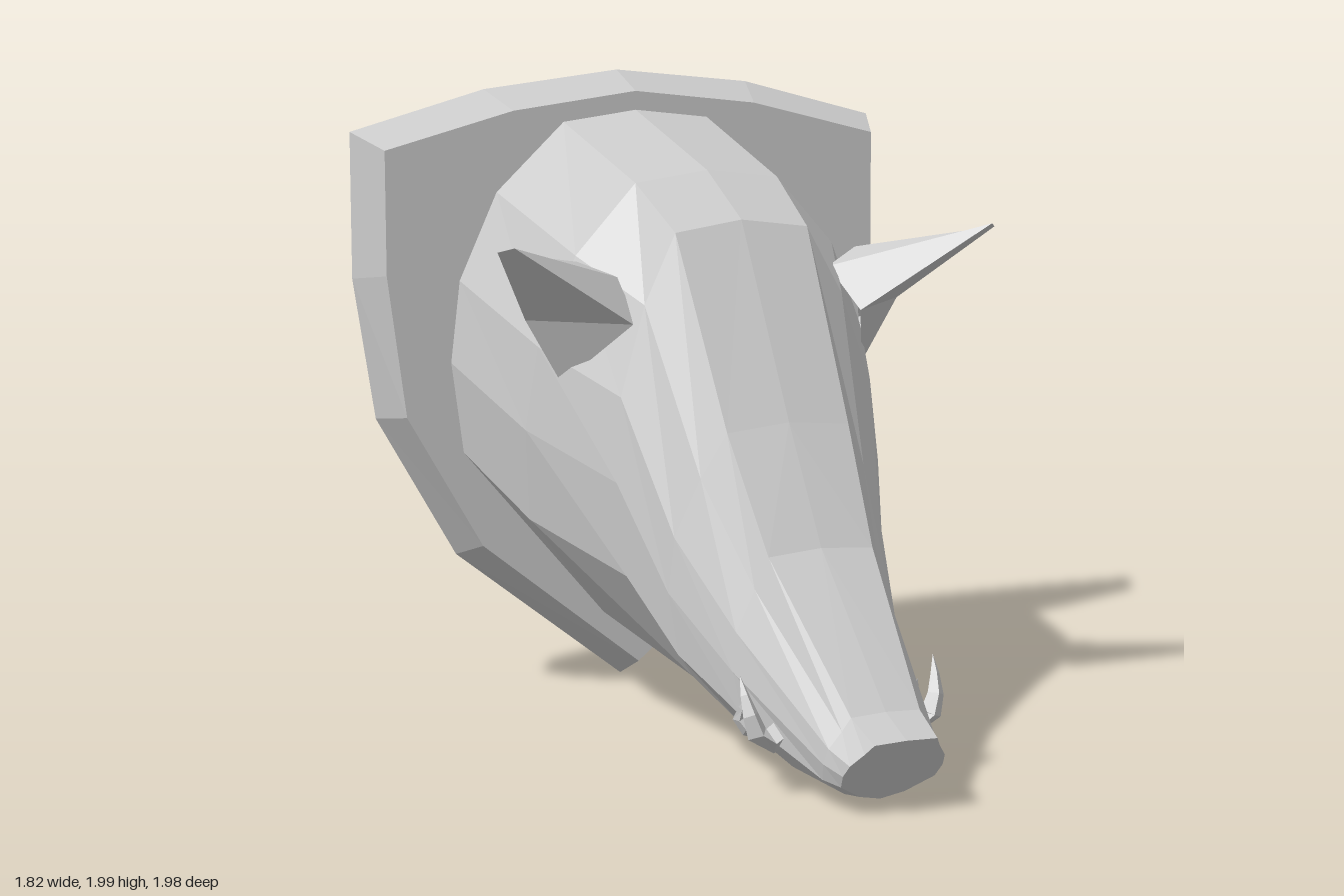
import * as THREE from 'three';

const material = new THREE.MeshStandardMaterial({ color: 0xcccccc, flatShading: true, side: THREE.DoubleSide });

function addMesh(parent, name, geometry) {
  const mesh = new THREE.Mesh(geometry, material);
  mesh.name = name;
  parent.add(mesh);
}

// Geometry from a list of triangles, each an array of three [x, y, z] points
function fromTriangles(tris) {
  const geometry = new THREE.BufferGeometry();
  geometry.setAttribute('position', new THREE.Float32BufferAttribute(tris.flat(2), 3));
  geometry.computeVertexNormals();
  return geometry;
}

// Lofts half sections (top centre, round +x, bottom centre), mirrored, from back to front
function loft(halves) {
  const rings = halves.map(h => [...h, ...h.slice(1, -1).reverse().map(([x, y, z]) => [-x, y, z])]);
  const n = rings[0].length, tris = [];
  for (let i = 0; i < rings.length - 1; i++) {
    for (let j = 0; j < n; j++) {
      const k = (j + 1) % n;
      const a = rings[i][j], b = rings[i][k], c = rings[i + 1][k], d = rings[i + 1][j];
      if (j < n / 2) tris.push([a, d, c], [a, c, b]);
      else tris.push([a, d, b], [b, d, c]);
    }
  }
  // End caps
  const middle = ring => [0, 1, 2].map(c => ring.reduce((s, p) => s + p[c], 0) / n);
  const back = rings[0], front = rings[rings.length - 1];
  const mb = middle(back), mf = middle(front);
  for (let j = 0; j < n; j++) {
    const k = (j + 1) % n;
    tris.push([mb, back[j], back[k]], [mf, front[k], front[j]]);
  }
  return fromTriangles(tris);
}

// Half section of the head: one shared outline, scaled between its top and bottom points
function headSection([top, topZ, bottom, bottomZ, width, ridge, bow]) {
  const outline = [[0, 0], [ridge / width, 0.02], [0.75, 0.16], [0.95, 0.34], [1, 0.51], [0.94, 0.7], [0.45, 0.92], [0, 1]];
  return outline.map(([x, f]) => [
    x * width,
    THREE.MathUtils.lerp(top, bottom, f),
    THREE.MathUtils.lerp(topZ, bottomZ, f) + bow * Math.sin(Math.PI * f),
  ]);
}

// Curved, four-sided tube that narrows to a point
function tusk(points, radius) {
  const curve = new THREE.CatmullRomCurve3(points.map(p => new THREE.Vector3(...p)));
  const steps = 5, sides = 4;
  const geometry = new THREE.TubeGeometry(curve, steps, radius, sides);
  const pos = geometry.attributes.position, v = new THREE.Vector3();
  for (let i = 0; i < pos.count; i++) {
    const t = Math.floor(i / (sides + 1)) / steps;
    const centre = curve.getPointAt(t);
    v.fromBufferAttribute(pos, i).sub(centre).multiplyScalar(1 - t * t).add(centre);
    pos.setXYZ(i, v.x, v.y, v.z);
  }
  return geometry;
}

export function createModel() {
  const model = new THREE.Group();
  model.name = 'mountedBoarHead';

  // Shield-shaped plaque with a bevelled rim
  const atDepth = (outline, z) => outline.map(([x, y]) => [x, y, z]);
  addMesh(model, 'plaque', loft([
    atDepth([[0, 2], [0.46, 1.95], [0.91, 1.83], [0.91, 1.37], [0.84, 0.92], [0.575, 0.46], [0, 0.01]], -0.99),
    atDepth([[0, 1.94], [0.42, 1.89], [0.85, 1.78], [0.85, 1.39], [0.79, 0.94], [0.54, 0.51], [0, 0.08]], -0.84),
  ]));

  // Head sections: top y, top z, bottom y, bottom z, half width, ridge half width, bow in z
  addMesh(model, 'head', loft([
    [1.88, -0.84, 0.36, -0.84, 0.64, 0.25, 0], // neck
    [1.73, -0.31, 0.21, -0.56, 0.58, 0.24, 0.06], // crown
    [1.6, -0.07, 0.11, 0, 0.44, 0.22, 0.02], // brow
    [1.03, 0.25, 0.06, 0.28, 0.36, 0.2, -0.09], // cheeks
    [0.69, 0.46, 0.01, 0.55, 0.275, 0.17, -0.07], // muzzle
    [0.29, 0.86, 0.015, 0.75, 0.18, 0.11, 0.02], // snout
    [0.235, 0.985, 0.03, 0.83, 0.16, 0.1, 0], // nose
  ].map(headSection)));

  for (const [side, s] of [['left', 1], ['right', -1]]) {
    const flip = points => points.map(([x, y, z]) => [s * x, y, z]);

    // Ear: blunt tip, outer fold and base corners
    const [tipF, tipB, fold, top, rear, low, inner, crown] = flip([
      [0.79, 1.565, 0.065], [0.825, 1.55, 0.02], [0.63, 1.31, -0.25], [0.47, 1.48, -0.23],
      [0.55, 1.24, -0.355], [0.51, 1.11, -0.26], [0.38, 1.31, -0.02], [0.35, 1.43, -0.18]]);
    const faces = [[tipF, inner, fold], [tipF, fold, tipB], [tipB, fold, top], [top, fold, rear],
      [fold, low, rear], [inner, low, fold], [tipB, top, crown], [tipB, crown, tipF], [tipF, crown, inner]];
    addMesh(model, side + 'Ear', fromTriangles(faces.map(f => (s > 0 ? f : [...f].reverse()))));

    // Lower and upper tusks
    addMesh(model, side + 'LowerTusk', tusk(flip(
      [[0.19, 0.2, 0.6], [0.26, 0.17, 0.61], [0.3, 0.25, 0.61], [0.315, 0.365, 0.565]]), 0.04));
    addMesh(model, side + 'UpperTusk', tusk(flip(
      [[0.2, 0.2, 0.55], [0.25, 0.185, 0.52], [0.285, 0.22, 0.5], [0.28, 0.29, 0.54]]), 0.03));
  }
  return model;
}
